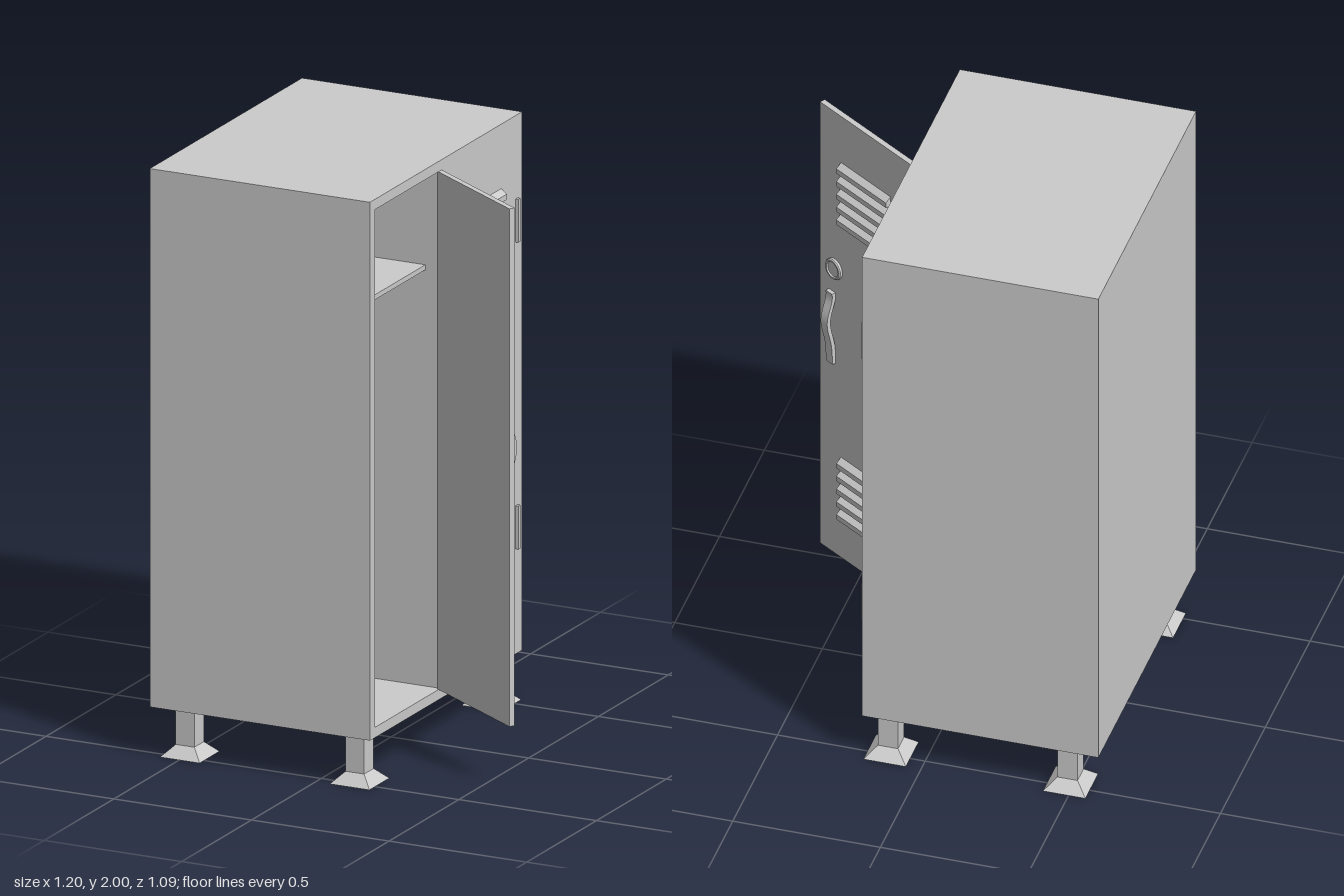
import * as THREE from 'three';
import { toCreasedNormals } from 'three/addons/utils/BufferGeometryUtils.js';

const grey = new THREE.MeshStandardMaterial({ color: 0xcccccc });

function add(parent, name, geometry, x = 0, y = 0, z = 0) {
  const mesh = new THREE.Mesh(geometry, grey);
  mesh.name = name;
  mesh.position.set(x, y, z);
  parent.add(mesh);
  return mesh;
}

// Box given by its limits on each axis
function addBox(parent, name, [x0, x1], [y0, y1], [z0, z1]) {
  return add(parent, name, new THREE.BoxGeometry(x1 - x0, y1 - y0, z1 - z0),
    (x0 + x1) / 2, (y0 + y1) / 2, (z0 + z1) / 2);
}

const toShape = pts => new THREE.Shape(pts.map(p => new THREE.Vector2(p[0], p[1])));
const extrude = (shape, depth) =>
  new THREE.ExtrudeGeometry(shape, { depth, bevelEnabled: false });

// Sloped louver: flush at its top, projecting at its lower lip
const louverGeo = extrude(toShape([[0, 0], [0.02, 0], [0.02, 0.019], [0, 0.035]]), 0.25);

// Wavy pull handle, a bent strip of constant thickness
function handleGeometry() {
  const curve = new THREE.SplineCurve([
    [0.012, 0.964], [0.017, 1.04], [0.035, 1.135], [0.015, 1.215], [0.014, 1.245],
  ].map(p => new THREE.Vector2(...p)));
  const outer = curve.getPoints(32);
  const inner = outer.map(p => new THREE.Vector2(p.x - 0.014, p.y)).reverse();
  return toCreasedNormals(extrude(new THREE.Shape([...outer, ...inner]), 0.033), 0.6);
}

// Lock dial with a raised rim, axis turned to face outwards
function lockGeometry() {
  const profile = [[0, -0.002], [0.038, -0.002], [0.038, 0.008], [0.035, 0.012],
    [0.029, 0.012], [0.027, 0.007], [0, 0.007]].map(p => new THREE.Vector2(...p));
  const geo = new THREE.LatheGeometry(profile, 32);
  geo.rotateZ(-Math.PI / 2);
  return toCreasedNormals(geo, 0.6);
}

// Door fittings: local z runs away from the hinge, local x points outwards
function makeDoor(name) {
  const door = new THREE.Group();
  door.name = name;
  for (const base of [0.366, 1.542])
    for (let i = 0; i < 5; i++)
      add(door, 'louver', louverGeo, 0, base + i * 0.051, 0.114);
  add(door, 'lock', lockGeometry(), 0, 1.341, 0.395);
  add(door, 'handle', handleGeometry(), 0, 0, 0.392);
  for (const y of [0.527, 1.57])
    addBox(door, 'hinge', [-0.003, 0.011], [y, y + 0.147], [-0.003, 0.013]);
  return door;
}

// Foot: square post on a flared pad
function makeLeg(x, z) {
  const leg = new THREE.Group();
  leg.name = 'leg';
  leg.position.set(x, 0, z);
  addBox(leg, 'post', [-0.034, 0.034], [0.038, 0.17], [-0.034, 0.034]);
  const pad = new THREE.CylinderGeometry(0.034 * Math.SQRT2, 0.072 * Math.SQRT2, 0.038, 4)
    .rotateY(Math.PI / 4).toNonIndexed();
  pad.computeVertexNormals();
  add(leg, 'pad', pad, 0, 0.019, 0);
  return leg;
}

export function createModel() {
  const locker = new THREE.Group();
  locker.name = 'locker';

  // Cabinet shell with one open compartment, extruded along x
  const shell = toShape([[-0.545, 0.17], [0.545, 0.17], [0.545, 2], [-0.545, 2]]);
  shell.holes.push(toShape([[-0.51, 0.205], [-0.51, 1.965], [-0.04, 1.965], [-0.04, 0.205]]));
  add(locker, 'cabinet', extrude(shell, 0.765).rotateY(Math.PI / 2), -0.565);
  addBox(locker, 'backPanel', [-0.6, -0.565], [0.17, 2], [-0.545, 0.545]);
  addBox(locker, 'shelf', [-0.565, 0.145], [1.62, 1.637], [0.04, 0.51]);

  // Closed door, flush with the cabinet front
  const closed = makeDoor('closedDoor');
  closed.position.set(0.2, 0, -0.51);
  locker.add(closed);

  // Open door, swung out on its hinge
  const open = makeDoor('openDoor');
  addBox(open, 'doorPanel', [-0.02, 0], [0.205, 1.965], [0, 0.47]);
  open.position.set(0.202, 0, 0.032);
  open.rotation.y = 0.993;
  locker.add(open);

  for (const [x, z] of [[0.123, 0.468], [-0.498, 0.46], [0.123, -0.476], [-0.485, -0.476]])
    locker.add(makeLeg(x, z));

  return locker;
}
